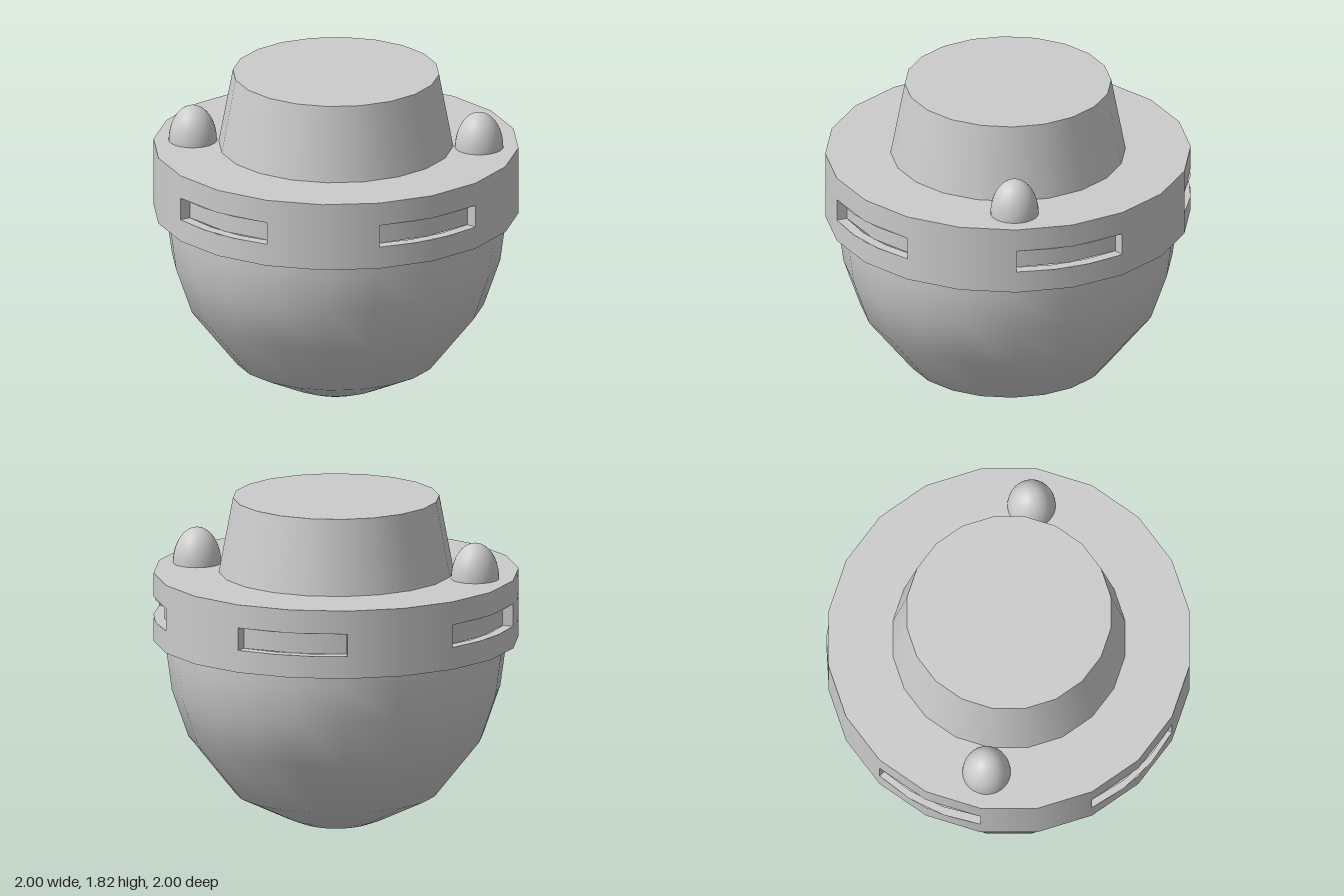
import * as THREE from 'three';

const SIDES = 20;
const STEP = (Math.PI * 2) / SIDES;
const RING_LOW = 1.025, SLOT_LOW = 1.15, SLOT_HIGH = 1.275, RING_HIGH = 1.405;
const OUTER = 1, SLOT_R = 0.94;

export function createModel() {
  const model = new THREE.Group();
  const grey = new THREE.MeshStandardMaterial({ color: 0xcccccc });
  const thin = new THREE.MeshStandardMaterial({ color: 0xcccccc, side: THREE.DoubleSide });

  const add = (name, geometry, material = grey, parent = model) => {
    const mesh = new THREE.Mesh(geometry, material);
    mesh.name = name;
    parent.add(mesh);
    return mesh;
  };
  // Open wall between two heights, over a number of facets
  const wall = (r, y0, y1, start = 0, count = SIDES) =>
    new THREE.CylinderGeometry(r, r, y1 - y0, count, 1, true, start, count * STEP)
      .translate(0, (y0 + y1) / 2, 0);
  // Flat annular sector at a height
  const annulus = (r0, r1, y, start = 0, count = SIDES) =>
    new THREE.RingGeometry(r0, r1, count, 1, start - Math.PI / 2, count * STEP)
      .rotateX(-Math.PI / 2).translate(0, y, 0);

  // Rounded bowl with a flat foot
  const profile = [[0.19, 0], [0.28, 0.035], [0.555, 0.168], [0.81, 0.49],
    [0.9, 0.75], [0.927, 0.95], [0.927, 1.1]].map(([r, y]) => new THREE.Vector2(r, y));
  add('bowl', new THREE.LatheGeometry(profile, SIDES), thin);
  add('bowlFoot', new THREE.CircleGeometry(0.19, SIDES).rotateX(Math.PI / 2));

  // Collar with five slots, each two facets wide
  const collar = new THREE.Group();
  collar.name = 'collar';
  model.add(collar);
  add('collarLowerBand', wall(OUTER, RING_LOW, SLOT_LOW), thin, collar);
  add('collarUpperBand', wall(OUTER, SLOT_HIGH, RING_HIGH), thin, collar);
  add('collarTop', annulus(0.55, OUTER, RING_HIGH), thin, collar);
  add('collarUnderside', annulus(0.9, OUTER, RING_LOW), thin, collar);
  for (let k = 0; k < 5; k++) {
    const solidStart = (4 * k - 1) * STEP;
    const slotStart = (4 * k + 1) * STEP;
    add('collarPanel', wall(OUTER, SLOT_LOW, SLOT_HIGH, solidStart, 2), thin, collar);
    add('slotBack', wall(SLOT_R, SLOT_LOW, SLOT_HIGH, slotStart, 2), thin, collar);
    for (const y of [SLOT_LOW, SLOT_HIGH]) {
      add('slotLedge', annulus(SLOT_R, OUTER, y, slotStart, 2), thin, collar);
    }
    for (const angle of [slotStart, slotStart + 2 * STEP]) {
      const end = new THREE.PlaneGeometry(OUTER - SLOT_R, SLOT_HIGH - SLOT_LOW)
        .translate((OUTER + SLOT_R) / 2, (SLOT_LOW + SLOT_HIGH) / 2, 0)
        .rotateY(angle - Math.PI / 2);
      add('slotEnd', end, thin, collar);
    }
  }

  // Tapered cap
  const capHeight = 1.82 - RING_HIGH;
  add('taperedCap', new THREE.CylinderGeometry(0.565, 0.643, capHeight, SIDES)
    .translate(0, RING_HIGH + capHeight / 2, 0));

  // Domed knobs at both sides
  for (const side of [-1, 1]) {
    const dome = new THREE.SphereGeometry(1, 32, 16, 0, Math.PI * 2, 0, Math.PI / 2)
      .scale(0.132, 0.198, 0.132);
    add(side > 0 ? 'leftKnob' : 'rightKnob', dome)
      .position.set(side * 0.785, RING_HIGH, 0);
  }
  return model;
}
